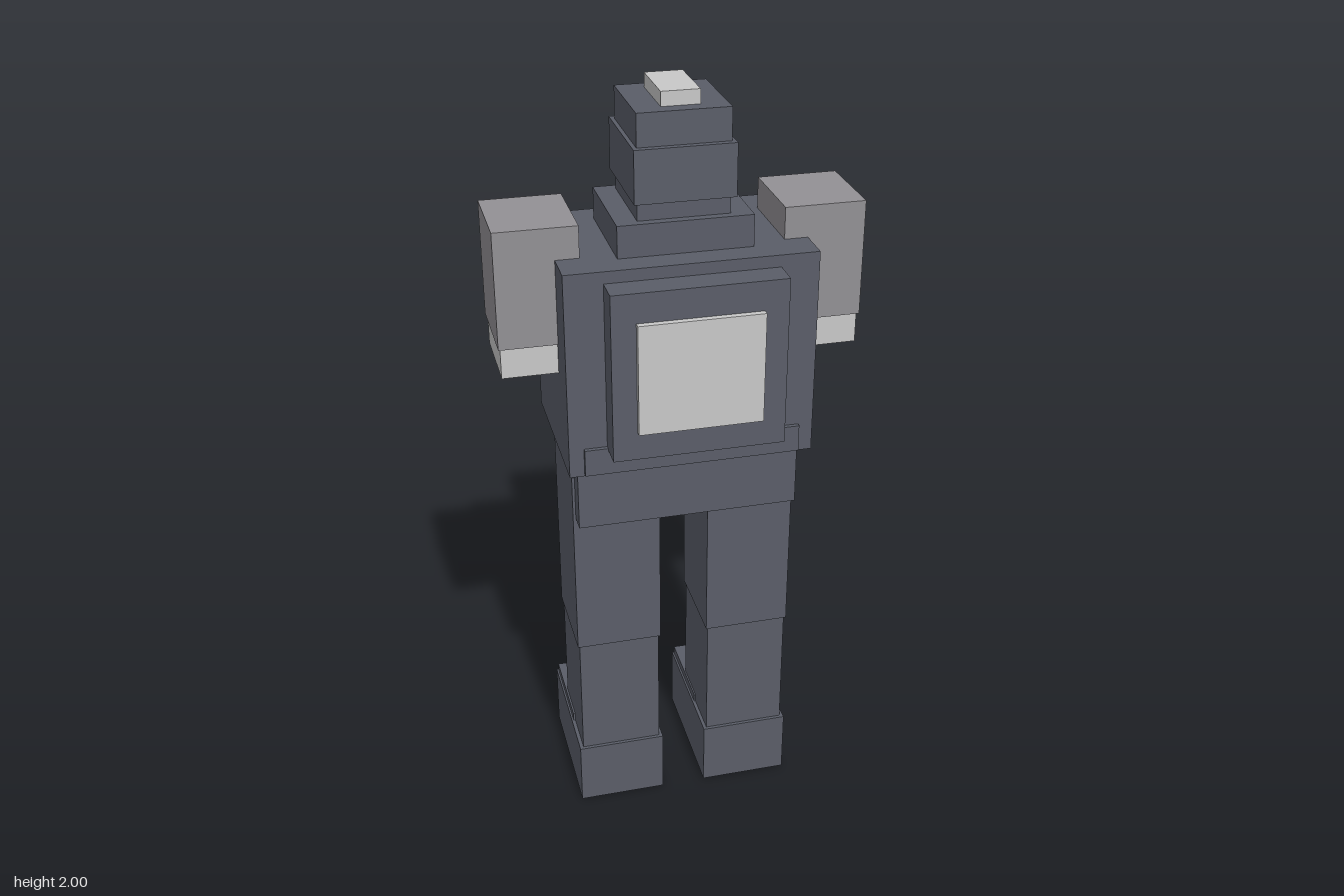
import * as THREE from 'three';

const mat = (name, color) => {
  const m = new THREE.MeshStandardMaterial({ color });
  m.name = name;
  return m;
};

export function createModel() {
  const dark = mat('darkSteel', 0x5a5d68);
  const mid = mat('midGrey', 0x929094);
  const light = mat('lightGrey', 0xc8c8c8);
  const teal = mat('teal', 0x66cccc);

  const robot = new THREE.Group();
  robot.name = 'robot';

  // Box from its bounds on each axis
  const box = (parent, name, material, [x0, x1], [y0, y1], [z0, z1]) => {
    const mesh = new THREE.Mesh(new THREE.BoxGeometry(x1 - x0, y1 - y0, z1 - z0), material);
    mesh.position.set((x0 + x1) / 2, (y0 + y1) / 2, (z0 + z1) / 2);
    mesh.name = name;
    parent.add(mesh);
  };
  // Box centred on x = 0
  const mid0 = (name, material, half, y, z) => box(robot, name, material, [-half, half], y, z);

  // Torso and pelvis
  mid0('pelvis', dark, 0.284, [0.93, 1.103], [-0.19, 0.148]);
  mid0('torso', dark, 0.309, [1.1, 1.63], [-0.233, 0.183]);
  mid0('belt', dark, 0.272, [1.105, 1.175], [-0.245, 0.194]);

  // Chest panel and badge
  mid0('chestPanel', light, 0.25, [1.19, 1.6], [-0.252, -0.23]);
  mid0('chestBadge', mid, 0.116, [1.32, 1.48], [-0.265, -0.25]);

  // Backpack
  mid0('backpack', dark, 0.214, [1.17, 1.6], [0.18, 0.255]);
  mid0('backpackPanel', light, 0.154, [1.243, 1.525], [0.25, 0.271]);

  // Neck and head
  mid0('collar', dark, 0.166, [1.63, 1.71], [-0.167, 0.115]);
  mid0('neck', dark, 0.113, [1.71, 1.755], [-0.143, 0.093]);
  mid0('head', dark, 0.123, [1.755, 1.885], [-0.162, 0.111]);
  mid0('headCap', dark, 0.113, [1.885, 1.965], [-0.143, 0.095]);
  mid0('visor', teal, 0.088, [1.885, 1.928], [-0.155, -0.143]);
  mid0('crest', light, 0.047, [1.965, 2], [-0.11, 0.058]);

  // Mirrored limbs
  for (const [side, s] of [['left', 1], ['right', -1]]) {
    const limb = (name) => {
      const g = new THREE.Group();
      g.name = side + name;
      robot.add(g);
      return g;
    };
    const span = (a, b) => (s > 0 ? [a, b] : [-b, -a]);

    const arm = limb('Arm');
    box(arm, 'upperArm', mid, span(0.25, 0.453), [1.415, 1.71], [-0.139, 0.088]);
    box(arm, 'armEnd', light, span(0.255, 0.448), [1.337, 1.415], [-0.132, 0.081]);

    const leg = limb('Leg');
    box(leg, 'thigh', dark, span(0.064, 0.291), [0.525, 1.05], [-0.146, 0.1]);
    box(leg, 'shin', dark, span(0.069, 0.286), [0.18, 0.525], [-0.142, 0.096]);
    box(leg, 'thighPanel', light, span(0.092, 0.263), [0.67, 0.95], [-0.158, -0.145]);
    box(leg, 'shinPanel', light, span(0.085, 0.27), [0.215, 0.512], [-0.151, -0.14]);
    box(leg, 'foot', dark, span(0.06, 0.296), [0, 0.18], [-0.271, 0.105]);
    box(leg, 'toeCap', dark, span(0.065, 0.291), [0.18, 0.203], [-0.266, -0.025]);
  }
  return robot;
}
